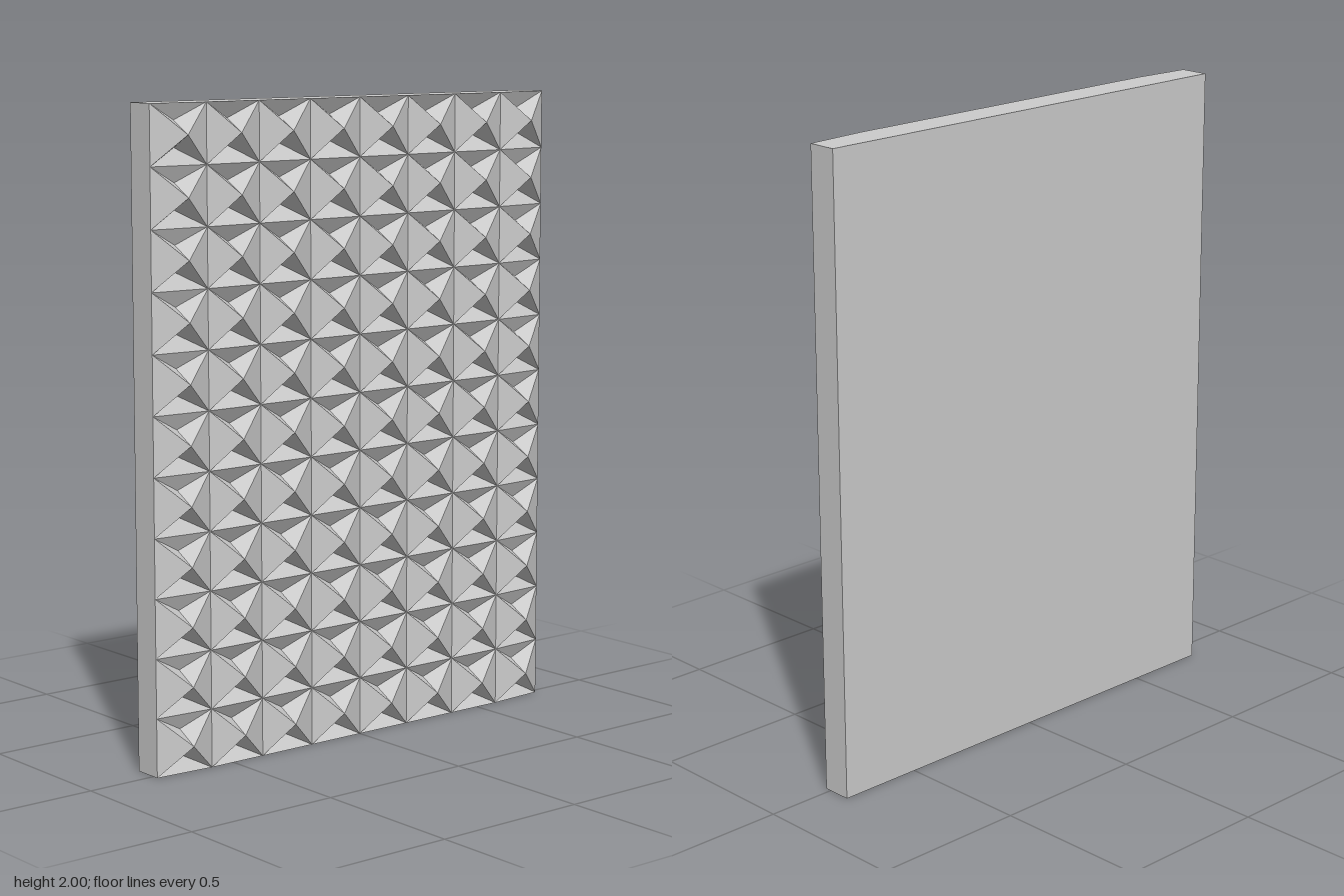
import * as THREE from 'three';

const W = 1.55, H = 2, BACK = -0.075;
const COLS = 8, ROWS = 11;
const CW = W / COLS, RH = H / ROWS;
const PEAK = 0.075, VALLEY = 0.033, RIM = 0.02, NOTCH = 0.003;

// Build a flat-shaded mesh from a list of counter-clockwise polygons
function facetMesh(name, polygons, material) {
  const pos = [];
  for (const p of polygons) {
    for (let i = 1; i < p.length - 1; i++) pos.push(...p[0], ...p[i], ...p[i + 1]);
  }
  const geo = new THREE.BufferGeometry();
  geo.setAttribute('position', new THREE.Float32BufferAttribute(pos, 3));
  geo.computeVertexNormals();
  const mesh = new THREE.Mesh(geo, material);
  mesh.name = name;
  return mesh;
}

// Grid corner on the front face; the outer left and right rims sit lower
function corner(c, r) {
  return [-W / 2 + c * CW, r * RH, c === 0 || c === COLS ? RIM : VALLEY];
}

// One stud: plain left and right faces, top and bottom faces folded inward
function stud(c, r) {
  const x = -W / 2 + (c + 0.5) * CW, y = (r + 0.5) * RH;
  const bl = corner(c, r), br = corner(c + 1, r);
  const tl = corner(c, r + 1), tr = corner(c + 1, r + 1);
  const apex = [x, y, PEAK];
  const low = [x, y - RH * 0.22, NOTCH], high = [x, y + RH * 0.22, NOTCH];
  return [
    [br, tr, apex], [tl, bl, apex],
    [bl, br, low], [bl, low, apex], [low, br, apex],
    [tr, tl, high], [high, tl, apex], [tr, high, apex],
  ];
}

export function createModel() {
  const group = new THREE.Group();
  group.name = 'studdedPanel';
  const material = new THREE.MeshStandardMaterial({ color: 0xcccccc, flatShading: true });

  // Studded front
  const studs = [];
  for (let c = 0; c < COLS; c++) {
    for (let r = 0; r < ROWS; r++) studs.push(...stud(c, r));
  }
  group.add(facetMesh('pyramidStuds', studs, material));

  // Back and edges of the slab
  const x = W / 2;
  const toBack = (p) => [p[0], p[1], BACK];
  const slab = [
    [[x, 0, BACK], [-x, 0, BACK], [-x, H, BACK], [x, H, BACK]],
    [[x, 0, RIM], [x, 0, BACK], [x, H, BACK], [x, H, RIM]],
    [[-x, 0, BACK], [-x, 0, RIM], [-x, H, RIM], [-x, H, BACK]],
  ];
  for (let c = 0; c < COLS; c++) {
    const tl = corner(c, ROWS), tr = corner(c + 1, ROWS);
    const bl = corner(c, 0), br = corner(c + 1, 0);
    slab.push([tl, tr, toBack(tr), toBack(tl)], [br, bl, toBack(bl), toBack(br)]);
  }
  group.add(facetMesh('backingSlab', slab, material));
  return group;
}
